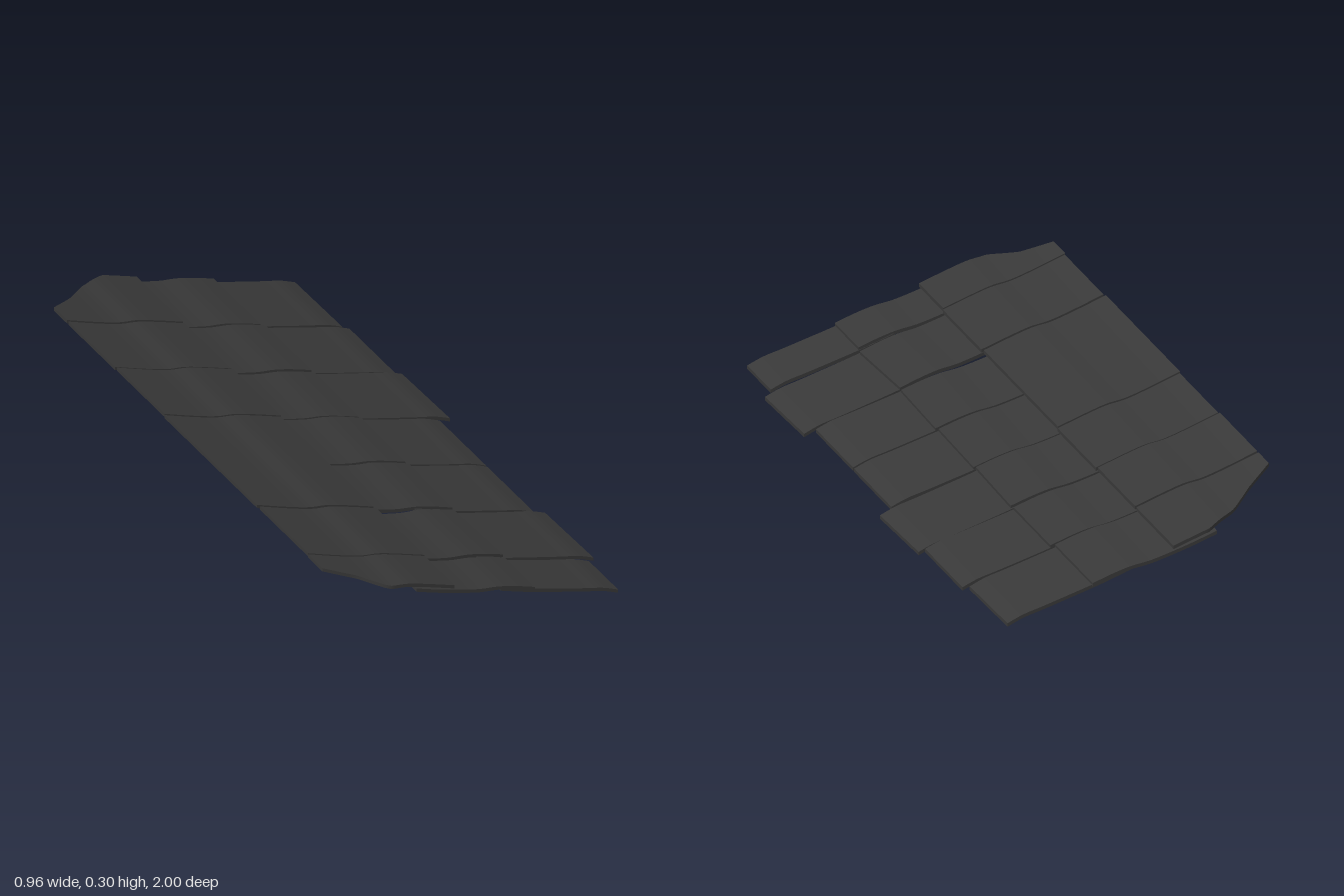
import * as THREE from 'three';

const THICKNESS = 0.011;
const SLOPE = -0.3;
const material = new THREE.MeshStandardMaterial({ color: 0x383838 });

// Top surface of each course, from the upper edge to the lower edge (x, y)
const curve = (pts) => new THREE.SplineCurve(pts.map(([x, y]) => new THREE.Vector2(x, y)));
const upper = curve([[-0.48, 0.302], [-0.39, 0.271], [-0.31, 0.247], [-0.25, 0.238], [-0.19, 0.221], [-0.095, 0.19]]);
const middle = curve([[-0.22, 0.212], [-0.13, 0.183], [-0.02, 0.154], [0.05, 0.144], [0.11, 0.129], [0.172, 0.109]]);
const lower = curve([[0.09, 0.127], [0.18, 0.098], [0.29, 0.068], [0.37, 0.047], [0.43, 0.032], [0.48, 0.012]]);

// Piecewise linear limit through [x, z] points
function limit(pts, x) {
  if (x <= pts[0][0]) return pts[0][1];
  for (let i = 1; i < pts.length; i++) {
    const [x0, z0] = pts[i - 1];
    const [x1, z1] = pts[i];
    if (x <= x1) return z0 + ((z1 - z0) * (x - x0)) / (x1 - x0);
  }
  return pts[pts.length - 1][1];
}

// A thin curved slab: a box bent onto the course profile, slid down the slope and slightly turned
function slate(name, profile, back, front, { slide = 0, turn = 0 } = {}) {
  const geometry = new THREE.BoxGeometry(1, 1, 1, 24, 1, 1);
  const pos = geometry.attributes.position;
  const centre = profile.getPoint(0.5);
  const zMid = (back[back.length - 1][1] + front[front.length - 1][1]) / 2;
  for (let i = 0; i < pos.count; i++) {
    const p = profile.getPoint(THREE.MathUtils.clamp(pos.getX(i) + 0.5, 0, 1));
    const z = THREE.MathUtils.lerp(limit(back, p.x), limit(front, p.x), pos.getZ(i) + 0.5);
    const dx = slide + turn * (z - zMid);
    pos.setXYZ(i, p.x + dx, p.y + dx * SLOPE + (pos.getY(i) - 0.5) * THICKNESS, z - turn * (p.x - centre.x));
  }
  geometry.computeVertexNormals();
  const mesh = new THREE.Mesh(geometry, material);
  mesh.name = name;
  return mesh;
}

const flat = (z) => [[0, z]];

export function createModel() {
  const model = new THREE.Group();
  model.name = 'slatePanel';

  // Upper course, with broken corners at both ends and one double-width slate
  const upperCourse = new THREE.Group();
  upperCourse.name = 'upperCourse';
  const brokenBack = [[-0.48, -0.79], [-0.39, -0.86], [-0.31, -0.94], [-0.21, -1]];
  const brokenFront = [[-0.48, 0.9], [-0.385, 0.935], [-0.31, 1]];
  [
    [brokenBack, flat(-0.708)],
    [flat(-0.698), flat(-0.405)],
    [flat(-0.4), flat(-0.1), { slide: 0.004 }],
    [flat(-0.092), flat(0.49)],
    [flat(0.5), flat(0.803), { slide: 0.004 }],
    [flat(0.81), brokenFront],
  ].forEach(([back, front, opts]) => upperCourse.add(slate('upperSlate', upper, back, front, opts)));

  // Middle course
  const middleCourse = new THREE.Group();
  middleCourse.name = 'middleCourse';
  [
    [-1, -0.705, { slide: -0.012 }],
    [-0.698, -0.408],
    [-0.396, -0.108, { turn: -0.02 }],
    [-0.102, 0.184, { turn: -0.015 }],
    [0.194, 0.48, { turn: -0.02 }],
    [0.503, 0.792, { turn: 0.04 }],
    [0.81, 0.997],
  ].forEach(([a, b, opts]) => middleCourse.add(slate('middleSlate', middle, flat(a), flat(b), opts)));

  // Lower course, with a ragged bottom edge
  const lowerCourse = new THREE.Group();
  lowerCourse.name = 'lowerCourse';
  [
    [-0.995, -0.708, { slide: -0.05, turn: 0.015 }],
    [-0.698, -0.405, { slide: -0.03 }],
    [-0.402, -0.115, { slide: -0.006, turn: 0.025 }],
    [-0.102, 0.19, { slide: -0.045 }],
    [0.198, 0.49, { slide: -0.045 }],
    [0.498, 0.788, { slide: -0.006, turn: 0.025 }],
    [0.808, 0.993, { slide: -0.03 }],
  ].forEach(([a, b, opts]) => lowerCourse.add(slate('lowerSlate', lower, flat(a), flat(b), opts)));

  model.add(upperCourse, middleCourse, lowerCourse);
  return model;
}
